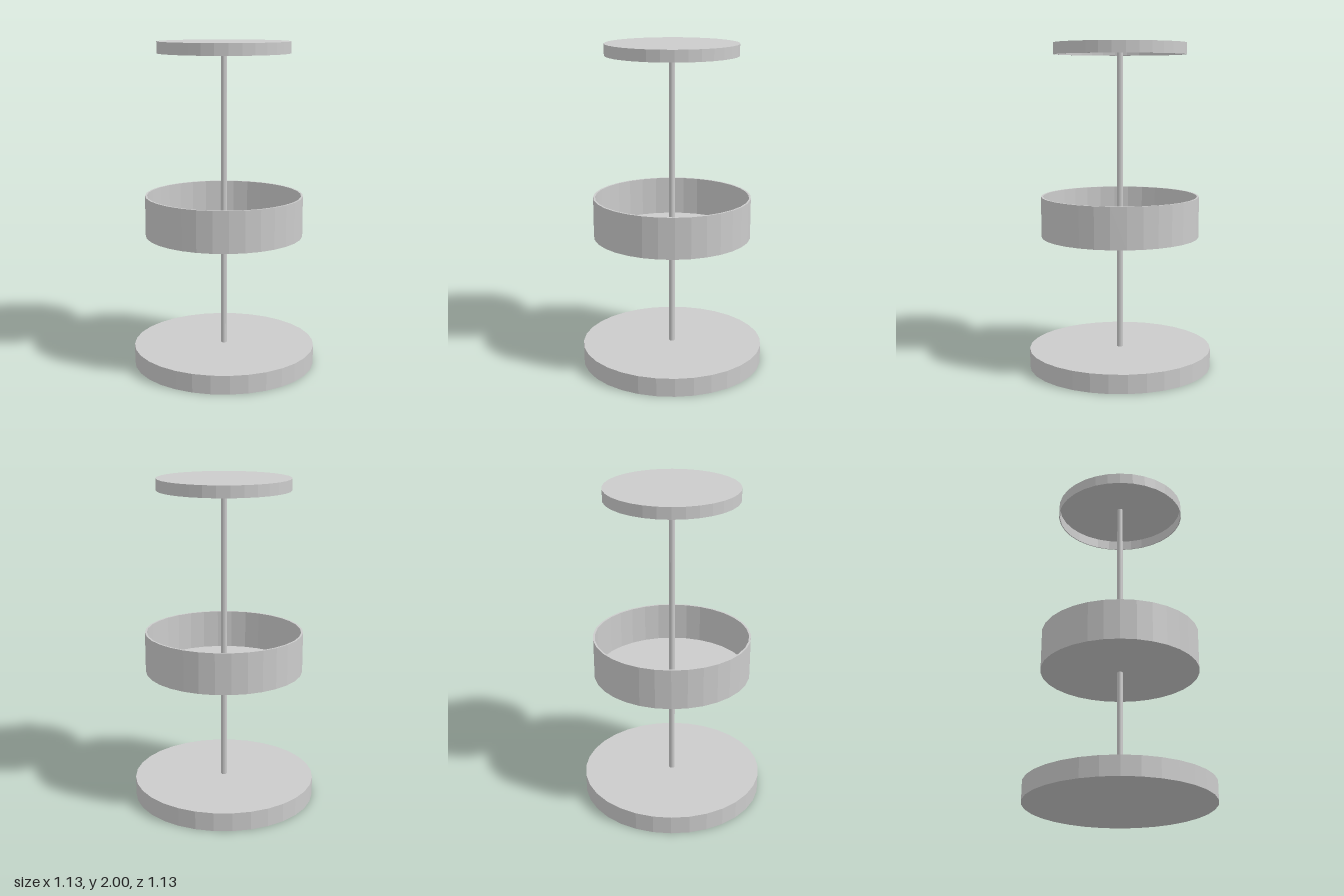
import * as THREE from 'three';

const SIDES = 32;
const material = new THREE.MeshStandardMaterial({ color: 0xcccccc, flatShading: true });

// Revolve a closed profile of [radius, height] points around the pole axis
function turned(name, profile, sides = SIDES) {
  const points = profile.map(([r, y]) => new THREE.Vector2(r, y));
  const mesh = new THREE.Mesh(new THREE.LatheGeometry(points, sides), material);
  mesh.name = name;
  return mesh;
}

export function createModel() {
  const group = new THREE.Group();
  group.name = 'tieredStand';

  // Solid round foot
  group.add(turned('base', [[0, 0], [0.565, 0], [0.565, 0.115], [0, 0.115]]));

  // Slim central pole, running up to the underside of the lid
  group.add(turned('pole', [[0, 0.11], [0.018, 0.11], [0.018, 1.995], [0, 1.995]], 16));

  // Open tray with a thin wall and floor
  group.add(turned('tray', [
    [0, 0.82], [0.485, 0.82], [0.485, 1.07], [0.473, 1.07], [0.473, 0.83], [0, 0.83],
  ]));

  // Shallow lid, hollow underneath
  group.add(turned('lid', [
    [0, 1.994], [0.396, 1.994], [0.396, 1.93], [0.402, 1.93], [0.402, 2], [0, 2],
  ]));

  return group;
}
